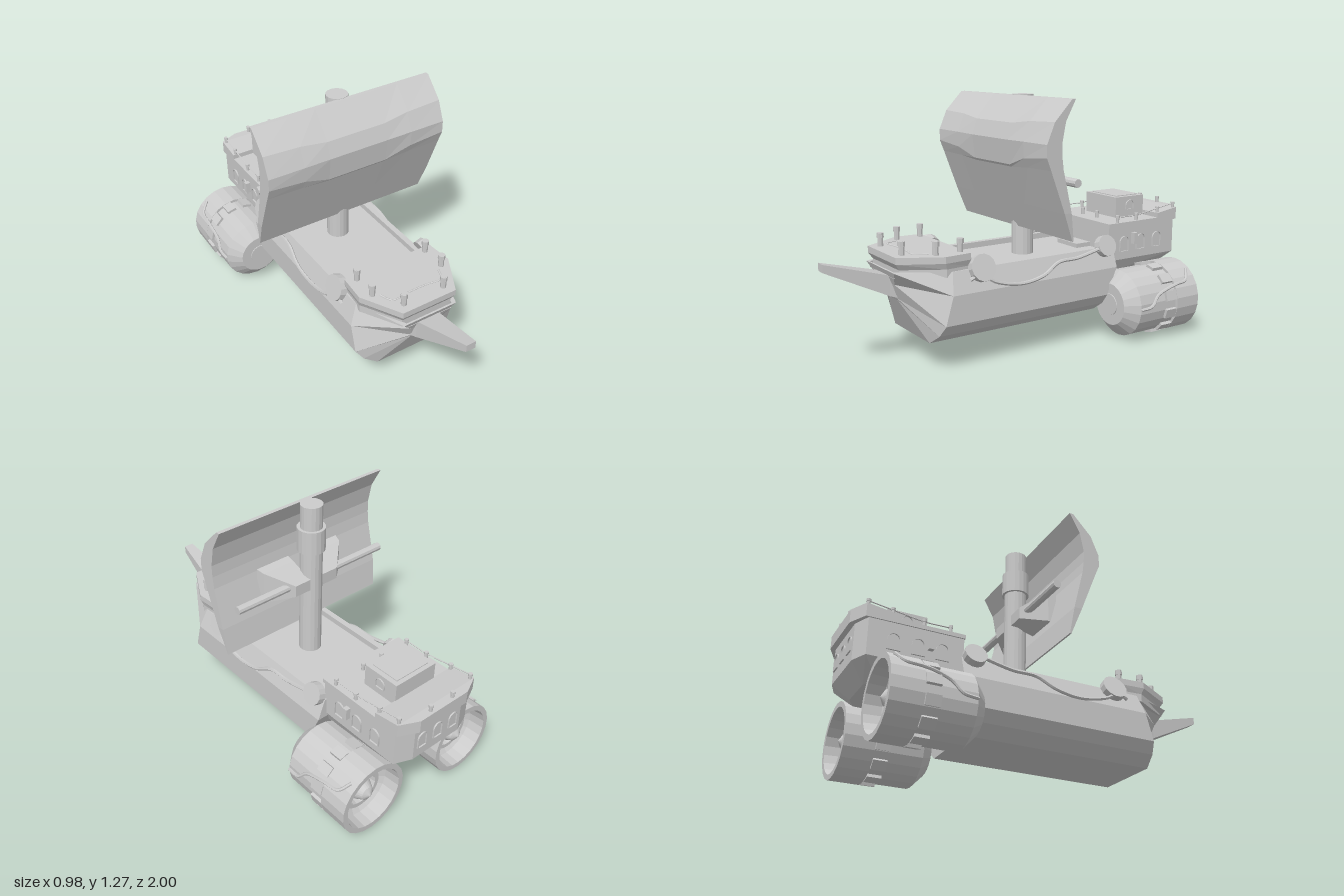
import * as THREE from 'three';

const mat = new THREE.MeshStandardMaterial({ color: 0xcccccc, flatShading: true });
const matDouble = new THREE.MeshStandardMaterial({ color: 0xcccccc, flatShading: true, side: THREE.DoubleSide });

// Solid through matching rings of [x, y, z]; end caps pair point i with point n-1-i
function loft(rings) {
  const n = rings[0].length, tris = [];
  const quad = (a, b, c, d) => tris.push([a, b, c], [a, c, d]);
  for (let r = 0; r < rings.length - 1; r++)
    for (let i = 0; i < n; i++) {
      const j = (i + 1) % n;
      quad(rings[r][i], rings[r][j], rings[r + 1][j], rings[r + 1][i]);
    }
  const first = rings[0], last = rings[rings.length - 1];
  for (let i = 0; i < n / 2 - 1; i++) {
    quad(first[i], first[n - 1 - i], first[n - 2 - i], first[i + 1]);
    quad(last[i], last[i + 1], last[n - 2 - i], last[n - 1 - i]);
  }
  // Signed volume decides which way the faces should wind
  let volume = 0;
  const [a, b, c] = [0, 1, 2].map(() => new THREE.Vector3());
  for (const t of tris) volume += a.set(...t[0]).dot(b.set(...t[1]).cross(c.set(...t[2])));
  if (volume < 0) tris.forEach((t) => t.reverse());
  const g = new THREE.BufferGeometry();
  g.setAttribute('position', new THREE.Float32BufferAttribute(tris.flat(2), 3));
  g.computeVertexNormals();
  return g;
}

// Completes a right-half ring with its mirror image
const mirrored = (half) => [...half, ...half.map(([x, y, z]) => [-x, y, z]).reverse()];
// Horizontal ring at height y from a right-half outline of [x, z]
const plan = (half, y) => mirrored(half.map(([x, z]) => [x, y, z]));
const rect = (x0, x1, y0, y1, z) => [[x0, y0, z], [x1, y0, z], [x1, y1, z], [x0, y1, z]];

function add(parent, name, geometry, x = 0, y = 0, z = 0, material = mat) {
  const m = new THREE.Mesh(geometry, material);
  m.name = name;
  m.position.set(x, y, z);
  parent.add(m);
  return m;
}

const box = (w, h, d) => new THREE.BoxGeometry(w, h, d);
const cyl = (r0, r1, h, n = 16) => new THREE.CylinderGeometry(r0, r1, h, n);
const tube = (pts, r, steps = 36) => new THREE.TubeGeometry(
  new THREE.CatmullRomCurve3(pts.map((p) => new THREE.Vector3(...p))), steps, r, 6);

// Capped post standing at y
function post(parent, x, y, z, h, r) {
  add(parent, 'post', cyl(r * 0.8, r * 0.8, h, 8), x, y + h / 2, z);
  add(parent, 'postCap', cyl(r, r, h * 0.35, 8), x, y + h * 0.82, z);
}

// Arched window: raised frame around a pane
function archWindow(w, h) {
  const arch = (s, r) => s.moveTo(-r, 0).lineTo(r, 0).lineTo(r, h - r).absarc(0, h - r, r, 0, Math.PI).lineTo(-r, 0);
  const shape = arch(new THREE.Shape(), w / 2);
  shape.holes.push(arch(new THREE.Path(), w / 2 - 0.007));
  return new THREE.ExtrudeGeometry(shape, { depth: 0.012, bevelEnabled: false, curveSegments: 6 });
}

function buildHull(group) {
  // Hull: straight midbody, then a faceted bow closing on a narrow stem
  const side = [[0.18, 0.137], [0.25, 0.185], [0.29, 0.24], [0.29, 0.38], [0.25, 0.485], [0.22, 0.485], [0.22, 0.455]];
  const bowZ = [0.55, 0.535, 0.52, 0.48, 0.46, 0.46, 0.46];
  const stem = [[0.05, 0.33, 0.645], [0.055, 0.335, 0.65], [0.06, 0.345, 0.655], [0.09, 0.42, 0.68],
    [0.15, 0.49, 0.71], [0.13, 0.49, 0.7], [0.13, 0.46, 0.7]];
  add(group, 'hull', loft([
    mirrored(side.map(([x, y], i) => [x, y, i < 3 ? -0.44 : -0.5])),
    mirrored(side.map(([x, y], i) => [x, y, bowZ[i]])),
    mirrored(stem),
  ]));
  add(group, 'deckHatch', box(0.17, 0.025, 0.09), 0, 0.465, -0.44);

  // Foredeck with overhanging plate and posts
  const outline = [[0.25, 0.36], [0.26, 0.5], [0.15, 0.7]];
  const lower = [[0.24, 0.37], [0.25, 0.49], [0.14, 0.68]];
  add(group, 'foredeck', loft([plan(lower, 0.46), plan(lower, 0.5), plan(outline, 0.53), plan(outline, 0.562)]));
  for (const s of [-1, 1])
    for (const [x, z] of [[0.2, 0.39], [0.2, 0.52], [0.113, 0.65]]) post(group, s * x, 0.56, z, 0.068, 0.018);
  add(group, 'foredeckTrim', tube([[-0.17, 0.562, 0.54], [-0.14, 0.562, 0.6], [-0.05, 0.562, 0.595],
    [0.05, 0.562, 0.595], [0.14, 0.562, 0.6], [0.17, 0.562, 0.54]], 0.005));

  // Bowsprit spike
  add(group, 'bowsprit', loft([rect(-0.08, 0.08, 0.33, 0.44, 0.6), rect(-0.062, 0.062, 0.36, 0.46, 0.69),
    rect(-0.026, 0.026, 0.508, 0.546, 1)]));

  // Side drums and the slack rope between them
  for (const s of [-1, 1]) {
    for (const [z, y, r] of [[0.31, 0.485, 0.066], [-0.44, 0.495, 0.056]])
      add(group, 'ropeDrum', cyl(r, r, 0.04, 14), s * 0.265, y, z).rotation.z = s * (0.35 - Math.PI / 2);
    add(group, 'rope', tube([[0.277, 0.44, 0.38], [0.283, 0.46, 0.33], [0.293, 0.415, 0.25], [0.295, 0.385, 0.1],
      [0.293, 0.405, -0.03], [0.28, 0.455, -0.13], [0.277, 0.46, -0.25], [0.275, 0.49, -0.4]]
      .map(([x, y, z]) => [s * x, y, z]), 0.009));
  }
}

function buildStern(group) {
  // Stern castle tapering below, with a raised after deck
  const wall = [[0.24, -0.485], [0.24, -0.94], [0.15, -0.975]];
  const keel = [[0.2, -0.46], [0.17, -0.86], [0.1, -0.9]];
  add(group, 'sternCastle', loft([plan(keel, 0.32), plan(wall, 0.4), plan(wall, 0.595)]));
  const trim = [[0.247, -0.48], [0.247, -0.8], [0.247, -0.85]];
  add(group, 'sternDeck', loft([plan(trim, 0.58), plan(trim, 0.6)]));
  const aft = [[0.247, -0.82], [0.247, -0.955], [0.15, -1]];
  add(group, 'afterDeck', loft([plan(aft, 0.58), plan(aft, 0.6).map(([x, y, z]) => [x, z < -0.9 ? 0.645 : 0.625, z])]));
  add(group, 'cabin', box(0.25, 0.12, 0.195), 0, 0.65, -0.725);
  add(group, 'cabinLid', box(0.2, 0.012, 0.15), 0, 0.708, -0.725);

  // Windows along the sides and across the back
  for (const s of [-1, 1]) {
    for (const z of [-0.59, -0.705, -0.82])
      add(group, 'sideWindow', archWindow(0.064, 0.08), s * 0.236, 0.445, z).rotation.y = s * Math.PI / 2;
    add(group, 'cabinWindow', archWindow(0.06, 0.05), s * 0.12, 0.64, -0.725).rotation.y = s * Math.PI / 2;
    add(group, 'sternLamp', box(0.025, 0.06, 0.025), s * 0.255, 0.51, -0.65);
  }
  for (const x of [-0.1, 0, 0.1]) add(group, 'backWindow', archWindow(0.06, 0.08), x, 0.455, -0.97).rotation.y = Math.PI;

  // Railing posts and wires
  for (const s of [-1, 1]) {
    for (const [x, y, z] of [[0.23, 0.6, -0.55], [0.06, 0.6, -0.55], [0.23, 0.6, -0.68], [0.23, 0.62, -0.83],
      [0.23, 0.635, -0.945], [0.07, 0.64, -0.98]]) post(group, s * x, y, z, 0.038, 0.011);
    add(group, 'railWire', tube([[s * 0.23, 0.627, -0.55], [s * 0.23, 0.627, -0.68], [s * 0.23, 0.648, -0.83],
      [s * 0.23, 0.665, -0.945]], 0.003));
  }
}

function buildThruster(group, s) {
  const t = new THREE.Group();
  t.name = s > 0 ? 'leftThruster' : 'rightThruster';
  t.position.set(s * 0.302, 0.19, -0.45);
  group.add(t);
  // Closed nose, barrel, rear collar and open nozzle with a bulb
  const profile = [[0, -0.004], [0.055, -0.004], [0.056, 0], [0.11, 0], [0.175, 0.06], [0.175, 0.3], [0.189, 0.3], [0.189, 0.45],
    [0.162, 0.45], [0.155, 0.37], [0.115, 0.34], [0.11, 0.37], [0.088, 0.37], [0.08, 0.33], [0.056, 0.33],
    [0.056, 0.37], [0.035, 0.41], [0, 0.43]];
  add(t, 'thrusterBody', new THREE.LatheGeometry(profile.map((p) => new THREE.Vector2(...p)), 22), 0, 0, 0, matDouble)
    .rotation.x = -Math.PI / 2;
  // Clamps around the barrel
  for (let i = 0; i < 12; i++) {
    const a = (i + 0.5) * Math.PI / 6;
    add(t, 'clamp', box(0.02, 0.05, 0.07), 0.178 * Math.cos(a), 0.178 * Math.sin(a), -0.262).rotation.z = a;
  }
  // Hose lying on the outer side
  add(t, 'hose', tube([[-0.06, 0, 0.176], [-0.13, 0.01, 0.18], [-0.18, 0.06, 0.18], [-0.26, 0.09, 0.192],
    [-0.31, 0.1, 0.195], [-0.38, 0.11, 0.194], [-0.42, 0.155, 0.194]]
    .map(([z, y, r]) => [s * Math.sqrt(r * r - y * y), y, z]), 0.008));
}

function buildSail(group) {
  // Mast with collar
  add(group, 'mast', cyl(0.057, 0.057, 0.65, 18), 0, 0.765, -0.102);
  add(group, 'mastCollar', cyl(0.07, 0.07, 0.12, 18), 0, 1.092, -0.102);
  add(group, 'mastTop', cyl(0.055, 0.055, 0.2, 18), 0, 1.172, -0.102);

  // Sail: bulging front, flatter back, creases shifting toward the middle
  const front = [[0.605, -0.055], [0.745, 0], [0.95, 0.08], [1.01, 0.105], [1.07, 0.105], [1.17, 0.062], [1.27, -0.035]];
  const back = [[0.607, -0.062], [0.745, -0.04], [0.95, 0.01], [1.01, 0.018], [1.07, 0.02], [1.17, 0], [1.27, -0.055]];
  const dy = [0, 0, -0.02, -0.08, -0.005, -0.03, 0];
  const dz = [0, 0, -0.005, -0.02, -0.005, 0.01, 0];
  const stations = [[-0.49, 0], [-0.3, 0.3], [-0.16, 1], [0.16, 1], [0.3, 0.3], [0.49, 0]];
  add(group, 'sail', loft(stations.map(([x, k]) => [
    ...front.map(([y, z], i) => [x * (i === 0 ? 0.98 : 1), y + k * dy[i] * 0.8, z + k * dz[i]]),
    ...back.map(([y, z], i) => [x * (i === 0 ? 0.98 : 1), y, z]).reverse(),
  ])));

  // Wedge brackets and cross rods behind the sail
  for (const s of [-1, 1]) {
    add(group, 'sailBracket', loft([rect(s * 0.06, s * 0.25, 0.78, 0.965, 0), rect(s * 0.06, s * 0.24, 0.79, 0.955, -0.04),
      rect(s * 0.04, s * 0.13, 0.83, 0.89, -0.145)]));
    add(group, 'sailRod', cyl(0.021, 0.021, 0.37, 10), s * 0.265, 0.873, -0.108).rotation.z = Math.PI / 2;
  }
}

export function createModel() {
  const model = new THREE.Group();
  model.name = 'sailingVessel';
  for (const [name, build] of [['hullSection', buildHull], ['sternSection', buildStern], ['sailSection', buildSail]]) {
    const g = new THREE.Group();
    g.name = name;
    build(g);
    model.add(g);
  }
  for (const s of [-1, 1]) buildThruster(model, s);
  return model;
}
